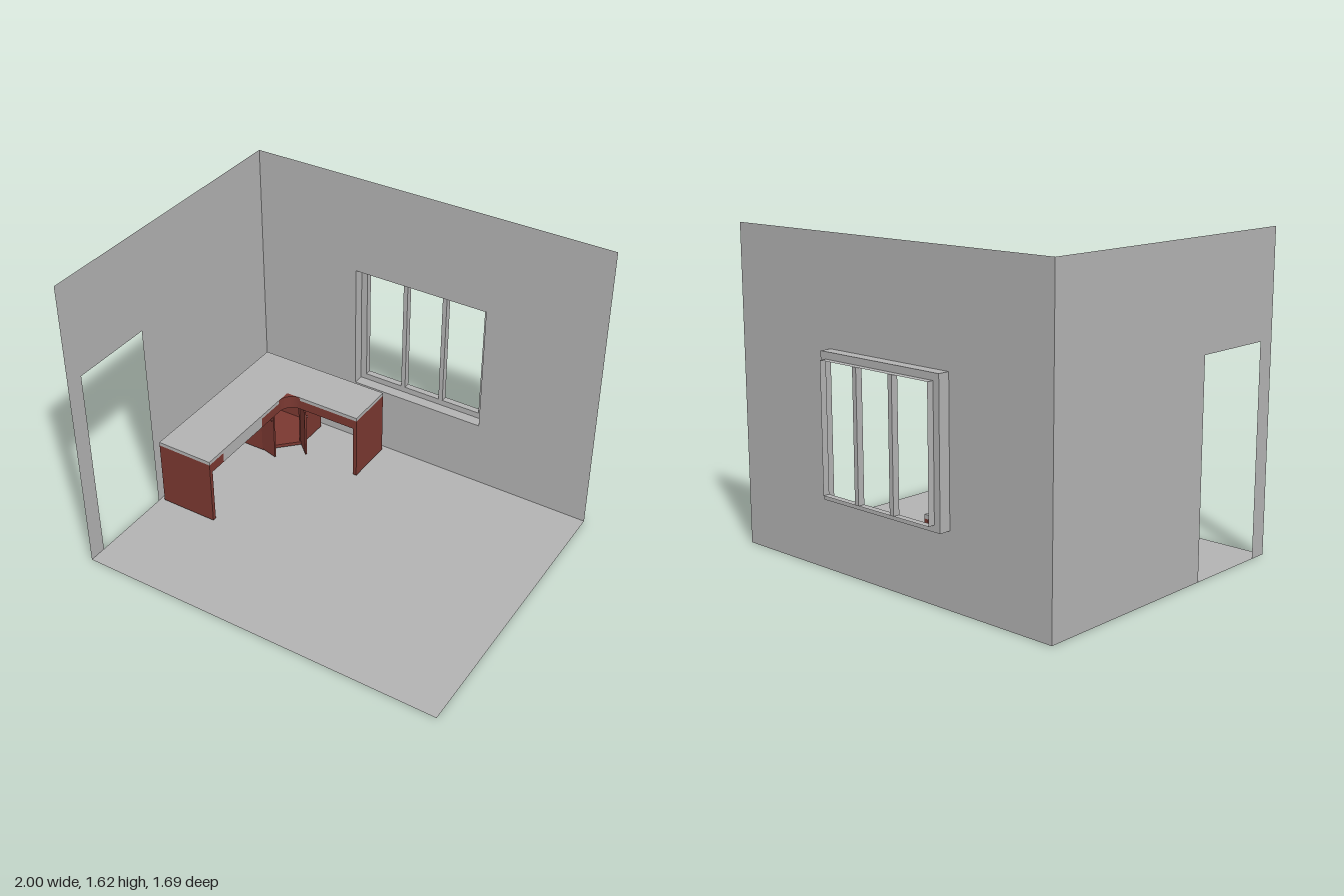
import * as THREE from 'three';

export function createModel() {
  const room = new THREE.Group();
  room.name = 'room';

  const grey = new THREE.MeshStandardMaterial({ color: 0xb2b2b2, side: THREE.DoubleSide });
  grey.name = 'plainGrey';
  const red = new THREE.MeshStandardMaterial({ color: 0x7a3831, side: THREE.DoubleSide });
  red.name = 'redWood';

  const add = (parent, name, geometry, material) => {
    const mesh = new THREE.Mesh(geometry, material);
    mesh.name = name;
    parent.add(mesh);
    return mesh;
  };
  const group = (name) => {
    const g = new THREE.Group();
    g.name = name;
    room.add(g);
    return g;
  };
  // Box given by its limits
  const box = (parent, name, material, [x0, x1], [y0, y1], [z0, z1]) => {
    const g = new THREE.BoxGeometry(x1 - x0, y1 - y0, z1 - z0);
    g.translate((x0 + x1) / 2, (y0 + y1) / 2, (z0 + z1) / 2);
    return add(parent, name, g, material);
  };
  const outline = (pts) => new THREE.Shape(pts.map(([x, y]) => new THREE.Vector2(x, y)));
  const rect = (x0, x1, y0, y1) => outline([[x0, y0], [x1, y0], [x1, y1], [x0, y1]]);
  // Horizontal slab: plan shape drawn in (x, -z), raised from y0 to y1
  const slab = (parent, name, material, shape, y0, y1) => {
    const g = new THREE.ExtrudeGeometry(shape, { depth: y1 - y0, bevelEnabled: false, curveSegments: 10 });
    g.rotateX(-Math.PI / 2);
    g.translate(0, y0, 0);
    return add(parent, name, g, material);
  };
  // Four-sided sleeve without ends
  const sleeve = (parent, name, [x0, x1], [y0, y1], [z0, z1]) => {
    const mesh = box(parent, name, grey, [x0, x1], [y0, y1], [z0, z1]);
    const g = mesh.geometry;
    g.setIndex([...g.index.array.slice(0, 24)]);
    g.clearGroups();
  };

  const H = 1.62, BACK = -0.75, FRONT = 0.845;
  const WX = [-0.41, 0.355], WY = [0.37, 1.08];   // window recess
  const IX = [-0.375, 0.32], IY = [0.403, 1.045]; // glazed opening

  // Floor
  const floor = new THREE.PlaneGeometry(2, FRONT - BACK);
  floor.rotateX(-Math.PI / 2);
  floor.translate(0, 0, (FRONT + BACK) / 2);
  add(room, 'floor', floor, grey);

  // Back wall with the window hole
  const backShape = rect(-1, 1, 0, H);
  backShape.holes.push(rect(...WX, ...WY));
  add(room, 'backWall', new THREE.ShapeGeometry(backShape), grey).position.z = BACK;

  // Side wall with the doorway, drawn along -z
  const sideShape = outline([
    [-FRONT, 0], [-0.75, 0], [-0.75, 1.08], [-0.295, 1.08], [-0.295, 0], [-BACK, 0], [-BACK, H], [-FRONT, H],
  ]);
  const side = add(room, 'sideWall', new THREE.ShapeGeometry(sideShape), grey);
  side.rotation.y = Math.PI / 2;
  side.position.x = -1;

  // Window: stepped reveal and two mullions
  const win = group('window');
  sleeve(win, 'windowReveal', WX, WY, [-0.81, BACK]);
  const step = rect(...WX, ...WY);
  step.holes.push(rect(...IX, ...IY));
  add(win, 'windowFrameFace', new THREE.ShapeGeometry(step), grey).position.z = -0.81;
  sleeve(win, 'windowFrameSleeve', IX, IY, [-0.845, -0.81]);
  for (const x of [-0.154, 0.077]) box(win, 'mullion', grey, [x, x + 0.024], IY, [-0.845, -0.81]);

  // L-shaped desk top
  const desk = group('desk');
  const X0 = -0.97, XI = -0.65, X1 = -0.21, Z0 = -0.71, ZI = -0.435, Z1 = 0.28;
  slab(desk, 'deskTop', grey, outline([
    [X0, -Z0], [X0, -Z1], [XI, -Z1], [XI, -ZI], [X1, -ZI], [X1, -Z0],
  ]), 0.375, 0.395);

  // Curved filler in the inner corner
  const r = 0.08;
  const filler = new THREE.Shape();
  filler.moveTo(XI, -ZI);
  filler.lineTo(XI, -ZI - r);
  filler.absarc(XI + r, -ZI - r, r, Math.PI, Math.PI / 2, true);
  filler.closePath();
  slab(desk, 'cornerFiller', red, filler, 0.32, 0.395);

  // End panels and aprons
  box(desk, 'shortEndPanel', red, [X1 - 0.022, X1], [0.01, 0.375], [Z0, ZI]);
  box(desk, 'longEndPanel', red, [X0, XI], [0.01, 0.375], [Z1 - 0.022, Z1]);
  box(desk, 'shortApron', red, [XI, X1 - 0.022], [0.32, 0.375], [ZI - 0.02, ZI]);
  const apronX = [XI - 0.02, XI], apronY = [0.32, 0.375];
  box(desk, 'longApronRear', red, apronX, apronY, [ZI, -0.19]);
  box(desk, 'drawerFront', grey, apronX, apronY, [-0.19, 0.16]);
  box(desk, 'longApronFront', red, apronX, apronY, [0.16, Z1 - 0.022]);

  // Corner cabinet: five-sided boards, two back panels and two side panels
  const cabinet = group('cornerCabinet');
  const CX = -0.615, CZ = -0.355, HX = -0.77, HZ = -0.51, t = 0.015;
  const plan = () => outline([[X0, -Z0], [X0, -CZ], [HX, -CZ], [CX, -HZ], [CX, -Z0]]);
  slab(cabinet, 'cabinetBase', red, plan(), 0.01, 0.03);
  slab(cabinet, 'cabinetTop', red, plan(), 0.295, 0.31);
  const cy = [0.03, 0.295];
  box(cabinet, 'cabinetBackPanel', red, [X0, CX - t], cy, [Z0, Z0 + t]);
  box(cabinet, 'cabinetBackPanel', red, [X0, X0 + t], cy, [Z0 + t, CZ - t]);
  box(cabinet, 'cabinetSidePanel', red, [CX - t, CX], cy, [Z0, HZ]);
  box(cabinet, 'cabinetSidePanel', red, [X0, HX], cy, [CZ - t, CZ]);

  // Open doors, each from its hinge to its free edge, with a knob
  const door = (hx, hz, tx, tz, face) => {
    const d = new THREE.Group();
    d.name = 'cabinetDoor';
    cabinet.add(d);
    d.position.set(hx, 0, hz);
    d.rotation.y = -Math.atan2(tz - hz, tx - hx);
    const len = Math.hypot(tx - hx, tz - hz);
    box(d, 'doorPanel', red, [0, len], [0.02, 0.307], [-0.005, 0.005]);
    const knob = new THREE.CylinderGeometry(0.006, 0.006, 0.012, 10);
    knob.rotateX(Math.PI / 2);
    add(d, 'doorKnob', knob, red).position.set(len - 0.008, 0.272, face * 0.01);
  };
  door(CX, HZ, -0.537, -0.437, -1);
  door(HX, CZ, -0.67, -0.33, 1);

  return room;
}
